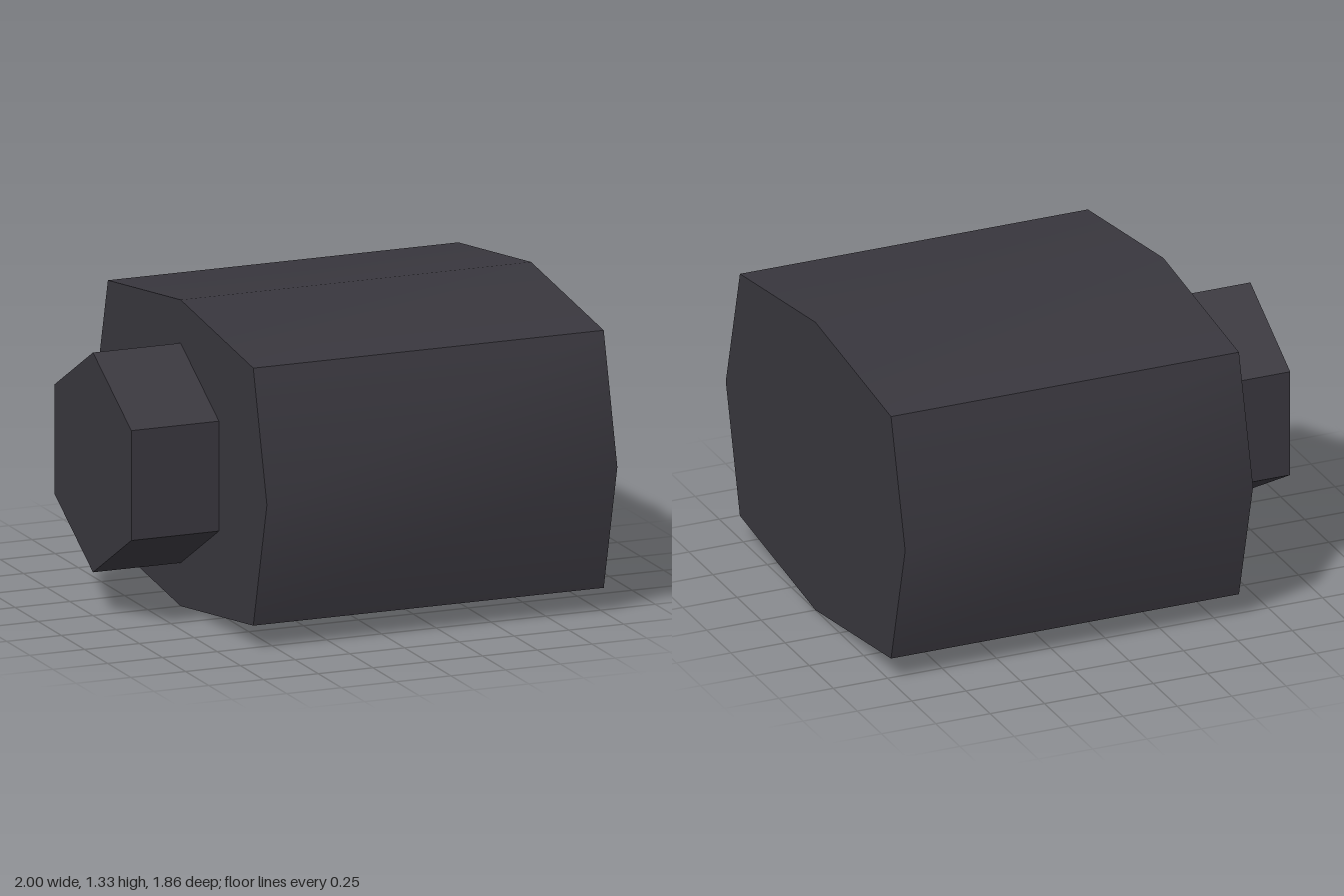
import * as THREE from 'three';
import { toCreasedNormals } from 'three/addons/utils/BufferGeometryUtils.js';

const CENTRE_Y = 0.666;

// Extrudes a (z, y) outline along x, from x0 to x1.
function prism(name, outline, x0, x1, creaseAngle, material) {
  const shape = new THREE.Shape(outline.map(([z, y]) => new THREE.Vector2(z, y)));
  const solid = new THREE.ExtrudeGeometry(shape, { depth: x1 - x0, bevelEnabled: false });
  solid.rotateY(Math.PI / 2);
  solid.translate(x0, CENTRE_Y, 0);
  const mesh = new THREE.Mesh(toCreasedNormals(solid, creaseAngle), material);
  mesh.name = name;
  return mesh;
}

export function createModel() {
  const charcoal = new THREE.MeshStandardMaterial({ color: 0x38363d });
  charcoal.name = 'charcoal';

  const model = new THREE.Group();
  model.name = 'cappedBlock';

  // Main body: a box with softly bulging sides and four sharp corners
  const bodyOutline = [
    [0.932, 0], [0.785, 0.56], [0, 0.666], [-0.785, 0.56],
    [-0.932, 0], [-0.785, -0.56], [0, -0.666], [0.785, -0.56],
  ];
  model.add(prism('body', bodyOutline, -0.6, 1, 0.8, charcoal));

  // Hexagonal stub on the right end
  const stubOutline = [];
  for (let i = 0; i < 6; i++) {
    const a = Math.PI / 2 + (i * Math.PI) / 3;
    stubOutline.push([0.478 * Math.cos(a), 0.478 * Math.sin(a)]);
  }
  model.add(prism('hexStub', stubOutline, -1, -0.6, 0.3, charcoal));

  return model;
}
